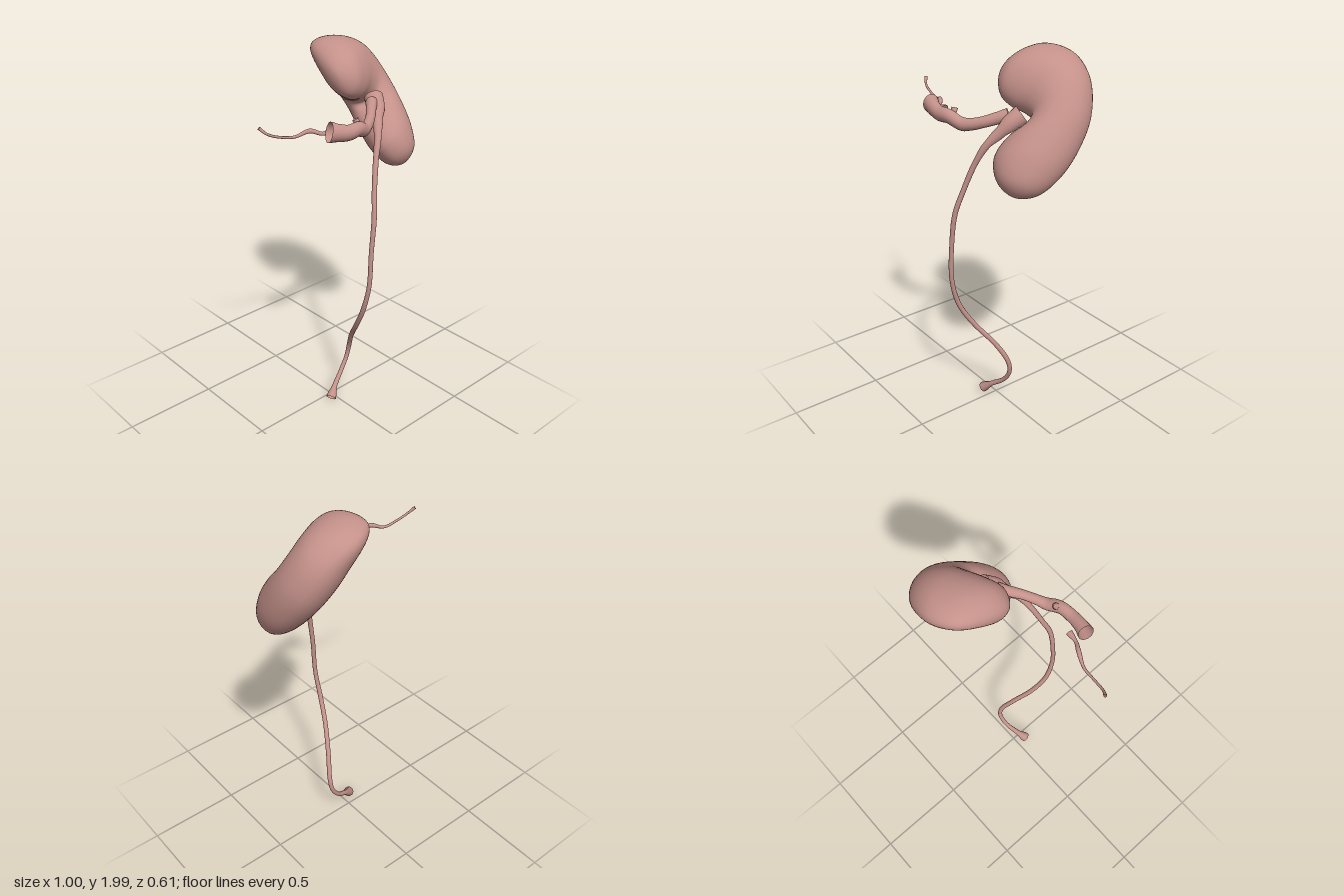
import * as THREE from 'three';
import { mergeVertices } from 'three/addons/utils/BufferGeometryUtils.js';

const flesh = new THREE.MeshStandardMaterial({ color: 0xc4918a, side: THREE.DoubleSide });
flesh.name = 'flesh pink';

// Open tube through points [x, y, z, radius]; depth flattens it along z
function vessel(name, pts, segments, sides = 16, depth = 1) {
  const path = new THREE.CatmullRomCurve3(pts.map(p => new THREE.Vector3(p[0], p[1], p[2])));
  const geo = new THREE.TubeGeometry(path, segments, 1, sides, false);
  const pos = geo.attributes.position;
  const v = new THREE.Vector3();
  for (let i = 0; i <= segments; i++) {
    const u = i / segments;
    const centre = path.getPointAt(u);
    const t = path.getUtoTmapping(u) * (pts.length - 1);
    const k = Math.min(Math.floor(t), pts.length - 2);
    const r = THREE.MathUtils.lerp(pts[k][3], pts[k + 1][3], THREE.MathUtils.smoothstep(t - k, 0, 1));
    for (let j = 0; j <= sides; j++) {
      const n = i * (sides + 1) + j;
      v.fromBufferAttribute(pos, n).sub(centre).multiplyScalar(r);
      v.z *= depth;
      v.add(centre);
      pos.setXYZ(n, v.x, v.y, v.z);
    }
  }
  const mesh = new THREE.Mesh(geo, flesh);
  mesh.name = name;
  return mesh;
}

// Bean-shaped body: elliptical sections between an outer and an inner edge
function kidneyGeometry() {
  // [x, y, half thickness]; the inner edge carries negative thickness so the poles round off
  const upperPole = [-0.228, 0.2, 0];
  const lowerPole = [-0.035, -0.375, 0];
  const outer = [
    [-0.165, 0.312, 0.085], [-0.05, 0.388, 0.12], [0.09, 0.362, 0.138], [0.195, 0.245, 0.142],
    [0.238, 0.07, 0.142], [0.215, -0.1, 0.142], [0.16, -0.24, 0.13], [0.075, -0.345, 0.09],
  ];
  const inner = [
    [-0.2, 0.09, -0.085], [-0.135, 0.045, -0.12], [-0.07, 0.025, -0.138], [-0.045, 0.0, -0.142],
    [-0.06, -0.04, -0.142], [-0.12, -0.105, -0.142], [-0.163, -0.21, -0.13], [-0.13, -0.315, -0.09],
  ];
  const loop = [upperPole, ...outer, lowerPole, ...inner.reverse()];
  const edge = new THREE.CatmullRomCurve3(loop.map(p => new THREE.Vector3(...p)), true);
  const rows = 72, cols = 48, verts = [], index = [];
  for (let i = 0; i <= rows; i++) {
    const o = edge.getPoint(i / rows / 2);
    const n = edge.getPoint(1 - i / rows / 2);
    const s = 9 * i / rows;
    for (let j = 0; j < cols; j++) {
      const a = j / cols * Math.PI * 2;
      const c = Math.cos(a), d = Math.sin(a);
      // hollow at the hilum
      const dent = c < 0 ? 0.035 * Math.exp(-(((s - 4.4) / 0.9) ** 2) - (d / 0.4) ** 2) : 0;
      const y = (o.y + n.y) / 2 + (o.y - n.y) / 2 * c;
      // flatter back, and a crown that leans backwards
      const z = (o.z - n.z) / 2 * d * (d < 0 ? 0.82 : 1) - 1.5 * Math.max(0, y - 0.2) ** 2;
      verts.push((o.x + n.x) / 2 + (o.x - n.x) / 2 * c + dent, y, z);
      if (i < rows) {
        const p = i * cols + j, q = i * cols + (j + 1) % cols;
        index.push(p, q, p + cols, q, q + cols, p + cols);
      }
    }
  }
  let geo = new THREE.BufferGeometry();
  geo.setAttribute('position', new THREE.Float32BufferAttribute(verts, 3));
  geo.setIndex(index);
  geo = mergeVertices(geo, 1e-5);
  geo.computeVertexNormals();
  return geo;
}

export function createModel() {
  const model = new THREE.Group();
  model.name = 'kidneyWithVessels';

  // Kidney, leaning back with its hollow towards the front and the right
  const kidney = new THREE.Mesh(kidneyGeometry(), flesh);
  kidney.name = 'kidney';
  const out = new THREE.Vector3(0.79, -0.09, -0.61).normalize();
  const up = new THREE.Vector3(-0.28, 0.83, -0.49);
  up.addScaledVector(out, -up.dot(out)).normalize();
  const face = new THREE.Vector3().crossVectors(out, up);
  kidney.quaternion.setFromRotationMatrix(new THREE.Matrix4().makeBasis(out, up, face));
  kidney.position.set(0.273, 1.675, -0.037);
  model.add(kidney);

  // Ureter, widening into the pelvis at the top and a flare at the bottom
  model.add(vessel('ureter', [
    [0.25, 1.715, 0.04, 0.048], [0.228, 1.68, 0.085, 0.042], [0.195, 1.63, 0.125, 0.028],
    [0.15, 1.56, 0.175, 0.018], [0.105, 1.46, 0.21, 0.014], [0.065, 1.33, 0.245, 0.013],
    [0.035, 1.2, 0.278, 0.013], [0.012, 1.02, 0.287, 0.012], [0.003, 0.82, 0.285, 0.012],
    [0.003, 0.66, 0.243, 0.013], [0.03, 0.53, 0.17, 0.013], [0.09, 0.39, 0.07, 0.013],
    [0.127, 0.28, 0.015, 0.013], [0.122, 0.2, 0.0, 0.012], [0.075, 0.125, 0.005, 0.012],
    [0.005, 0.07, 0.03, 0.014], [-0.048, 0.025, 0.056, 0.028],
  ], 160));

  // Renal vein with its wide open end
  model.add(vessel('vein', [
    [0.2, 1.705, 0.078, 0.034], [0.16, 1.688, 0.115, 0.029], [0.11, 1.665, 0.16, 0.027],
    [0.06, 1.648, 0.193, 0.029], [0.015, 1.643, 0.215, 0.034], [-0.05, 1.668, 0.242, 0.036],
    [-0.12, 1.668, 0.25, 0.038], [-0.18, 1.68, 0.243, 0.042], [-0.222, 1.69, 0.232, 0.049],
  ], 70, 24, 0.75));

  // Short side branch on the vein
  model.add(vessel('veinBranch', [
    [-0.035, 1.665, 0.235, 0.018], [-0.038, 1.69, 0.222, 0.014], [-0.042, 1.708, 0.214, 0.016],
  ], 10));

  // Thin artery with a flared end
  model.add(vessel('artery', [
    [-0.5, 1.735, 0.077, 0.008], [-0.47, 1.705, 0.097, 0.006], [-0.41, 1.68, 0.109, 0.006],
    [-0.33, 1.665, 0.12, 0.007], [-0.265, 1.685, 0.148, 0.011], [-0.215, 1.668, 0.178, 0.009],
    [-0.165, 1.67, 0.185, 0.016],
  ], 60, 12));

  return model;
}
